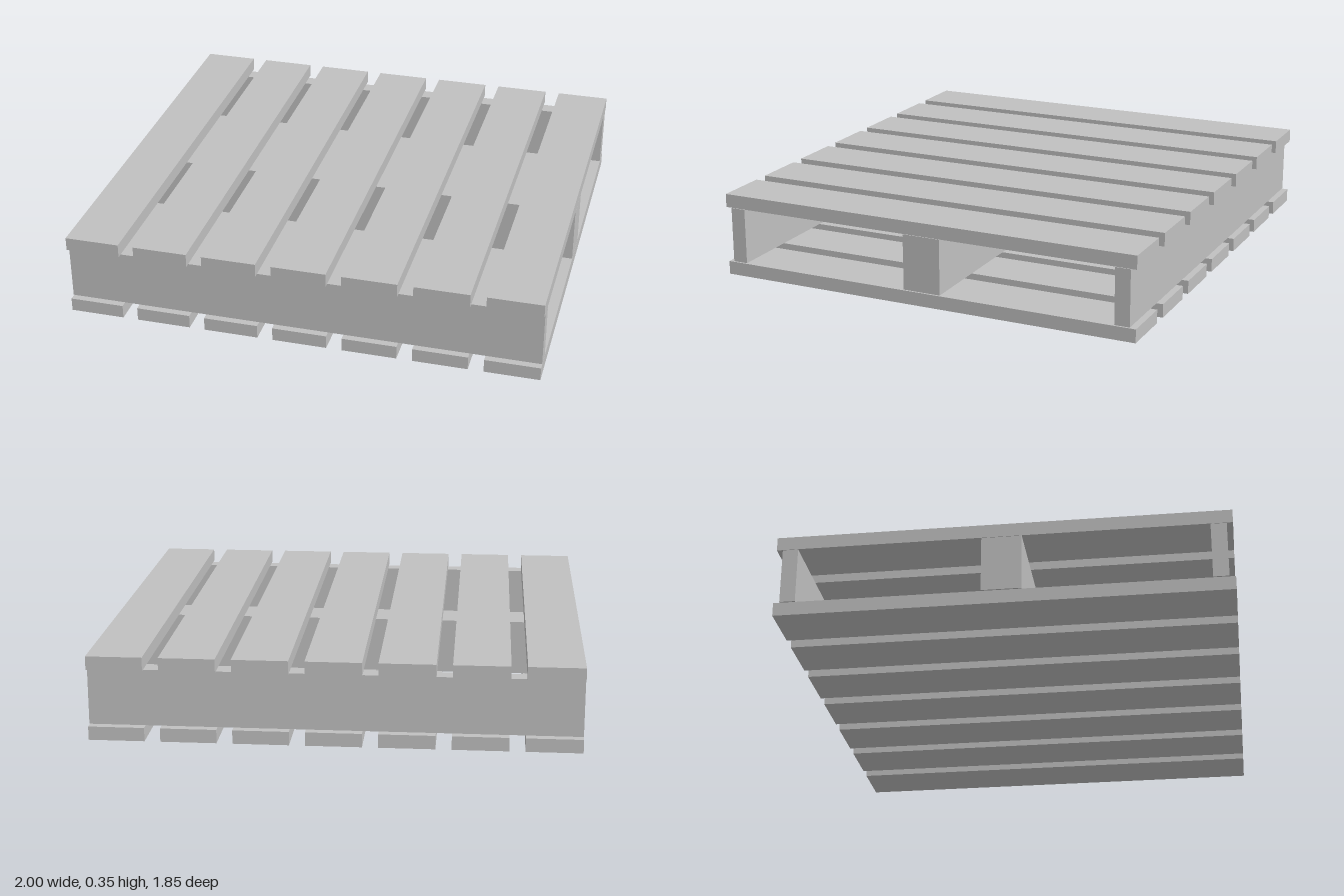
import * as THREE from 'three';

const SLATS = 7, SLAT_W = 0.23, SLAT_T = 0.057, DEPTH = 1.85, HEIGHT = 0.355;

export function createModel() {
  const pallet = new THREE.Group();
  pallet.name = 'pallet';
  const grey = new THREE.MeshStandardMaterial({ color: 0xc0c0c0 });
  grey.name = 'lightGrey';

  const addBoard = (name, w, h, d, x, y, z) => {
    const board = new THREE.Mesh(new THREE.BoxGeometry(w, h, d), grey);
    board.name = name;
    board.position.set(x, y, z);
    pallet.add(board);
  };

  // Upper and lower deck slats, running front to back
  const pitch = (2 - SLAT_W) / (SLATS - 1);
  for (let i = 0; i < SLATS; i++) {
    const x = -1 + SLAT_W / 2 + i * pitch;
    addBoard('topSlat', SLAT_W, SLAT_T, DEPTH, x, HEIGHT - SLAT_T / 2, 0);
    addBoard('bottomSlat', SLAT_W, SLAT_T, DEPTH, x, SLAT_T / 2, 0);
  }

  // Upright stringers between the decks, running side to side
  const stringerH = 0.236;
  for (const [name, z, d] of [
    ['frontStringer', 0.868, 0.064],
    ['middleStringer', 0, 0.164],
    ['backStringer', -0.868, 0.064],
  ]) addBoard(name, 2, stringerH, d, 0, HEIGHT / 2 + 0.001, z);

  return pallet;
}
